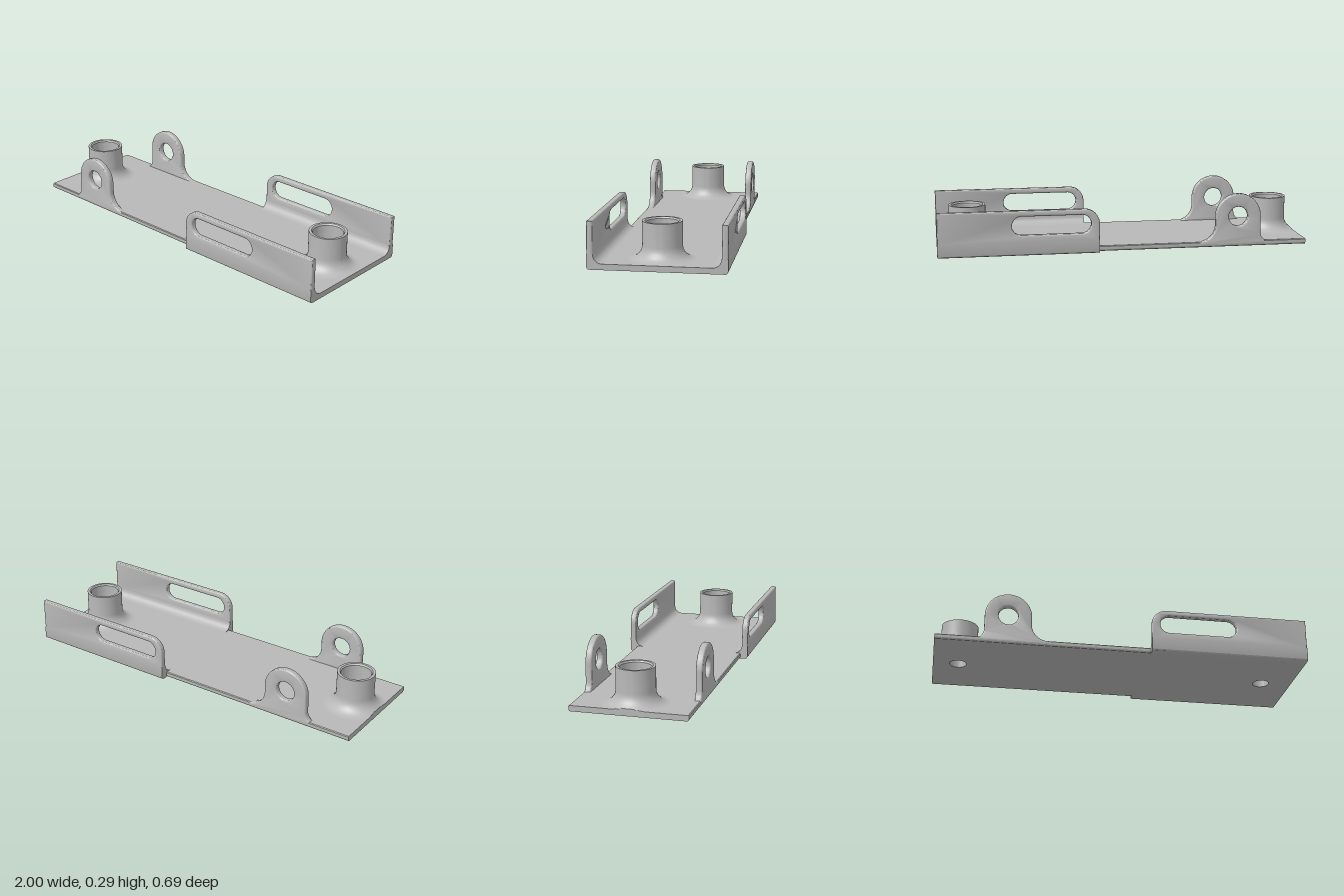
import * as THREE from 'three';
import { toCreasedNormals } from 'three/addons/utils/BufferGeometryUtils.js';

const PLATE = 0.03;   // plate thickness
const INNER = 0.268;  // half width of the flat floor
const NARROW = 0.305; // half width of the narrow end
const WIDE = 0.345;   // half width of the walled end
const STEP = 0.145;   // x where the walls begin
const BOSSES = [-0.865, 0.83];

export function createModel() {
  const group = new THREE.Group();
  const grey = new THREE.MeshStandardMaterial({ color: 0xb8b8b8 });
  grey.name = 'grey metal';

  const add = (name, geometry) => {
    const mesh = new THREE.Mesh(toCreasedNormals(geometry, 0.6), grey);
    mesh.name = name;
    group.add(mesh);
  };

  // Upright plate drawn in x/y, between two depths in z, with rounded edges
  const upright = (shape, z0, z1, bevel) => {
    const g = new THREE.ExtrudeGeometry(shape, {
      depth: z1 - z0 - 2 * bevel, curveSegments: 20, bevelEnabled: true,
      bevelThickness: bevel, bevelSize: bevel, bevelOffset: -bevel, bevelSegments: 3,
    });
    return g.translate(0, 0, z0 + bevel);
  };

  // Cross-section (distance from the middle, height) swept along x on one side
  const sweep = (shape, x0, x1, side) => {
    const g = new THREE.ExtrudeGeometry(shape, { depth: x1 - x0, bevelEnabled: false, curveSegments: 12 });
    return g.rotateY(-side * Math.PI / 2).translate(side > 0 ? x1 : x0, 0, 0);
  };

  // Floor with two screw holes
  const floor = new THREE.Shape();
  floor.moveTo(-1, -INNER).lineTo(1, -INNER).lineTo(1, INNER).lineTo(-1, INNER).closePath();
  for (const x of BOSSES) floor.holes.push(new THREE.Path().absarc(x, 0, 0.045, 0, Math.PI * 2, true));
  add('floor', new THREE.ExtrudeGeometry(floor, { depth: PLATE, bevelEnabled: false, curveSegments: 40 })
    .rotateX(-Math.PI / 2));

  // Rounded edge of the narrow end
  const edge = new THREE.Shape();
  edge.moveTo(INNER, 0).lineTo(NARROW - 0.012, 0);
  edge.absarc(NARROW - 0.012, 0.012, 0.012, -Math.PI / 2, 0, false);
  edge.lineTo(NARROW, PLATE - 0.004).lineTo(NARROW - 0.004, PLATE).lineTo(INNER, PLATE).closePath();

  // Filleted foot of the side walls
  const foot = new THREE.Shape();
  foot.moveTo(INNER, 0).lineTo(WIDE - 0.015, 0);
  foot.absarc(WIDE - 0.015, 0.015, 0.015, -Math.PI / 2, 0, false);
  foot.lineTo(WIDE, 0.075).lineTo(0.313, 0.075);
  foot.absarc(INNER, 0.075, 0.045, 0, -Math.PI / 2, true);
  foot.closePath();

  // Side wall with one rounded corner and a long slot
  const wall = new THREE.Shape();
  wall.moveTo(STEP, 0.067).lineTo(1, 0.067).lineTo(1, 0.24).lineTo(STEP + 0.08, 0.24);
  wall.absarc(STEP + 0.08, 0.16, 0.08, Math.PI / 2, Math.PI, false);
  wall.closePath();
  const slot = new THREE.Path();
  slot.absarc(0.24, 0.16, 0.05, Math.PI * 1.5, Math.PI / 2, true);
  slot.absarc(0.56, 0.16, 0.05, Math.PI / 2, -Math.PI / 2, true);
  slot.closePath();
  wall.holes.push(slot);

  // Pivot ear with an eye and flared base
  const ear = new THREE.Shape();
  ear.moveTo(-0.405, 0.008).lineTo(-0.405, PLATE);
  ear.absarc(-0.405, 0.12, 0.09, Math.PI * 1.5, Math.PI, true);
  ear.absarc(-0.62, 0.165, 0.125, 0, Math.PI, false);
  ear.lineTo(-0.745, 0.075);
  ear.quadraticCurveTo(-0.748, 0.045, -0.77, PLATE);
  ear.lineTo(-0.77, 0.008).closePath();
  ear.holes.push(new THREE.Path().absarc(-0.62, 0.165, 0.053, 0, Math.PI * 2, true));

  for (const side of [1, -1]) {
    const label = side > 0 ? 'front' : 'back';
    const span = (a, b) => (side > 0 ? [a, b] : [-b, -a]);
    add(label + 'FloorEdge', sweep(edge, -1, STEP, side));
    add(label + 'WallFoot', sweep(foot, STEP, 1, side));
    add(label + 'Wall', upright(wall, ...span(0.313, WIDE), 0.007));
    add(label + 'Ear', upright(ear, ...span(0.271, 0.306), 0.008));
  }

  // Hollow screw bosses: flared base, rim, bore and conical seat
  const profile = [];
  for (let i = 0; i <= 10; i++) {
    const a = (i / 10) * Math.PI / 2;
    profile.push(new THREE.Vector2(0.17 - 0.07 * Math.sin(a), 0.1 - 0.07 * Math.cos(a)));
  }
  for (const [r, y] of [[0.1, 0.22], [0.086, 0.22], [0.08, 0.212], [0.08, 0.075], [0.045, 0.04], [0.045, PLATE]]) {
    profile.push(new THREE.Vector2(r, y));
  }
  BOSSES.forEach((x, i) => {
    const g = new THREE.LatheGeometry(profile, 64).translate(x, 0, 0);
    // Trim the flare flush with the end of the floor
    const p = g.attributes.position;
    for (let k = 0; k < p.count; k++) p.setX(k, Math.max(-1, Math.min(1, p.getX(k))));
    add(i ? 'leftBoss' : 'rightBoss', g);
  });

  return group;
}
